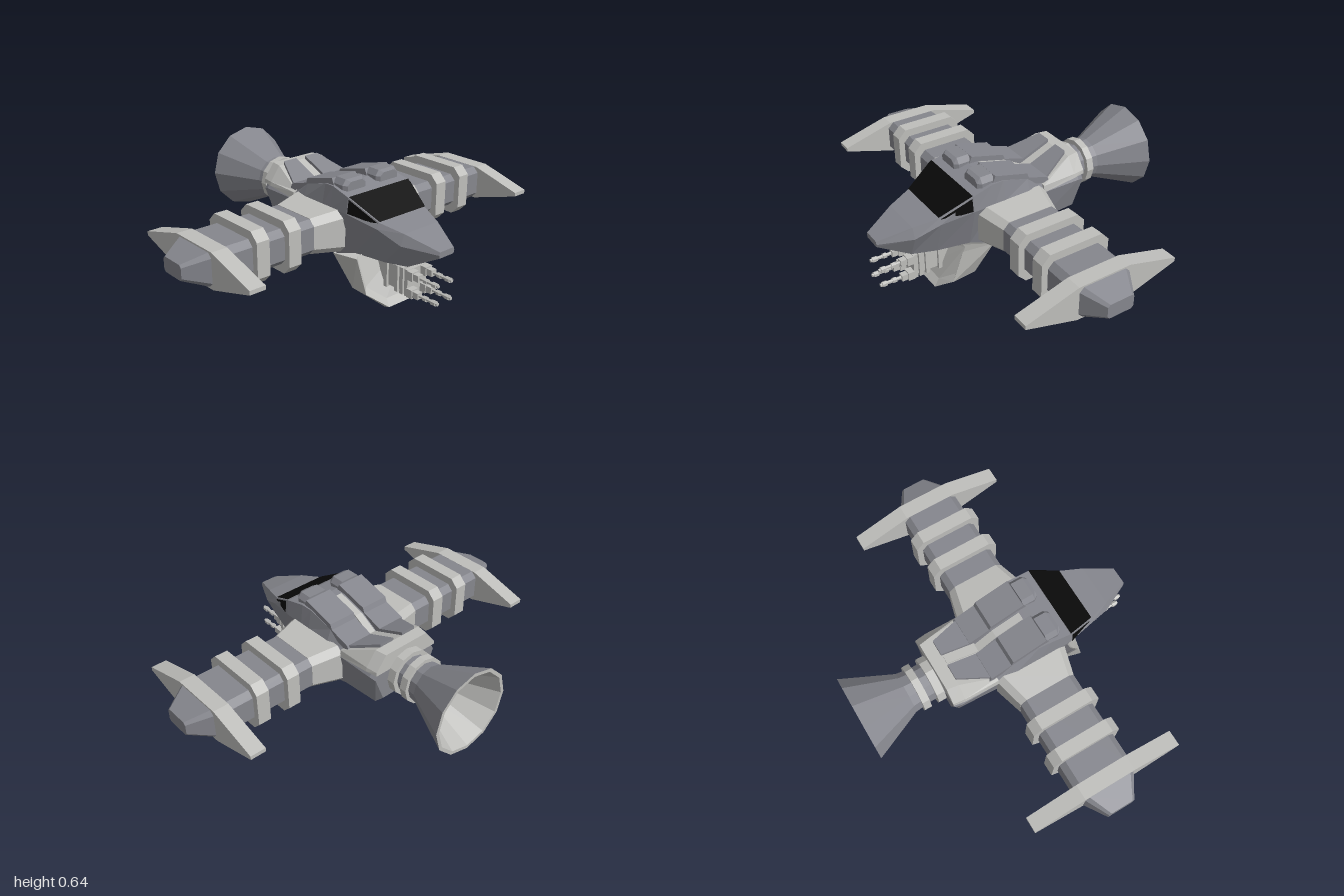
import * as THREE from 'three';

const make = (name, color) => {
  const m = new THREE.MeshStandardMaterial({ color, flatShading: true, side: THREE.DoubleSide });
  m.name = name;
  return m;
};

export function createModel() {
  const grey = make('hull grey', 0x85868d);
  const light = make('light grey', 0xbebebb);
  const black = make('canopy black', 0x090909);
  const model = new THREE.Group();

  const add = (parent, name, geo, mat, x = 0, y = 0, z = 0) => {
    const m = new THREE.Mesh(geo, mat);
    m.name = name;
    m.position.set(x, y, z);
    parent.add(m);
    return m;
  };
  const box = (parent, name, mat, w, h, d, x, y, z) =>
    add(parent, name, new THREE.BoxGeometry(w, h, d), mat, x, y, z);
  // triangles from a list of corner triples
  const fromTris = (tris) => {
    const g = new THREE.BufferGeometry();
    g.setAttribute('position', new THREE.Float32BufferAttribute(tris.flat(2), 3));
    g.computeVertexNormals();
    return g;
  };
  // skin over rings ordered front to back, each counter-clockwise seen from +z
  const loft = (rings) => {
    const t = [], n = rings[0].length, last = rings[rings.length - 1];
    for (let i = 0; i < rings.length - 1; i++)
      for (let j = 0; j < n; j++) {
        const k = (j + 1) % n, a = rings[i][j], b = rings[i][k], c = rings[i + 1][k], d = rings[i + 1][j];
        t.push([a, d, c], [a, c, b]);
      }
    for (let j = 1; j < n - 1; j++) {
      t.push([rings[0][0], rings[0][j], rings[0][j + 1]]);
      t.push([last[0], last[j + 1], last[j]]);
    }
    return fromTris(t);
  };
  // thin panel lying just above a quad, shrunk towards its middle
  const panel = (quad, scale, lift) => {
    const v = quad.map((p) => new THREE.Vector3(...p));
    const mid = v.reduce((s, p) => s.add(p), new THREE.Vector3()).multiplyScalar(0.25);
    const nrm = v[2].clone().sub(v[0]).cross(v[3].clone().sub(v[1])).normalize().multiplyScalar(lift);
    const q = v.map((p) => p.clone().sub(mid).multiplyScalar(scale).add(mid).add(nrm).toArray());
    return fromTris([[q[0], q[1], q[2]], [q[0], q[2], q[3]]]);
  };
  const flip = (quad) => quad.map(([x, y, z]) => [-x, y, z]).reverse();
  // side profile in (z, y), extruded across x0..x1
  const sideExtrude = (pts, x0, x1) => {
    const s = new THREE.Shape(pts.map(([z, y]) => new THREE.Vector2(-z, y)));
    const g = new THREE.ExtrudeGeometry(s, { depth: x1 - x0, bevelEnabled: false });
    return g.rotateY(Math.PI / 2).translate(x0, 0, 0);
  };

  // fuselage: z, then half width and height of top, middle and bottom corners
  const hull = [
    [0.748, 0.045, 0.4, 0.05, 0.385, 0.045, 0.37],
    [0.59, 0.11, 0.455, 0.13, 0.4, 0.08, 0.285],
    [0.47, 0.15, 0.483, 0.165, 0.455, 0.11, 0.275],
    [0.31, 0.195, 0.57, 0.205, 0.49, 0.15, 0.28],
    [0.2, 0.19, 0.595, 0.205, 0.49, 0.17, 0.248],
    [0.14, 0.185, 0.592, 0.205, 0.49, 0.17, 0.248],
    [0, 0.18, 0.55, 0.205, 0.485, 0.17, 0.252],
    [-0.1, 0.17, 0.49, 0.2, 0.45, 0.17, 0.277],
    [-0.3, 0.18, 0.48, 0.2, 0.45, 0.16, 0.28],
    [-0.333, 0.17, 0.47, 0.19, 0.44, 0.14, 0.31],
  ].map(([z, a, ya, b, yb, c, yc]) =>
    [[c, yc, z], [b, yb, z], [a, ya, z], [-a, ya, z], [-b, yb, z], [-c, yc, z]]);
  add(model, 'fuselage', loft(hull), grey);

  // canopy glass
  add(model, 'windscreen', panel([[-0.148, 0.483, 0.47], [0.148, 0.483, 0.47], [0.194, 0.57, 0.312], [-0.194, 0.57, 0.312]], 1, 0.004), black);
  const sideGlass = [[0.152, 0.481, 0.465], [0.165, 0.476, 0.42], [0.204, 0.497, 0.318], [0.195, 0.563, 0.318]];
  add(model, 'leftSideWindow', panel(sideGlass, 1, 0.005), black);
  add(model, 'rightSideWindow', panel(flip(sideGlass), 1, 0.005), black);

  // rear engine block
  const block = [[-0.09, 0.2, 0.45, 0.195, 0.485, 0.18, 0.49], [-0.275, 0.2, 0.47, 0.195, 0.49, 0.14, 0.565], [-0.337, 0.19, 0.47, 0.188, 0.49, 0.13, 0.565]]
    .map(([z, a, ya, b, yb, c, yc]) => [[a, ya, z], [b, yb, z], [c, yc, z], [-c, yc, z], [-b, yb, z], [-a, ya, z]]);
  add(model, 'rearBlock', loft(block), light);

  // dorsal pods with rising tails and intakes
  for (const s of [1, -1]) {
    const x0 = s > 0 ? 0.03 : -0.18;
    add(model, 'dorsalPod', sideExtrude([[0.2, 0.585], [0.18, 0.627], [0, 0.58], [-0.01, 0.553], [-0.12, 0.52], [-0.14, 0.48], [0, 0.52]], x0, x0 + 0.15), grey);
    const tail = [[-0.12, 0.48, 0.518, 0.17], [-0.275, 0.55, 0.582, 0.11]].map(([z, y0, y1, w]) => {
      const a = s > 0 ? 0.03 : -w, b = s > 0 ? w : -0.03;
      return [[a, y0, z], [b, y0, z], [b, y1, z], [a, y1, z]];
    });
    add(model, 'podTail', loft(tail), grey);
    const intake = [[0.27, 0.055], [0.25, 0.07], [0.185, 0.07]].map(([z, w], i) => {
      const c = 0.105 * s, top = i ? 0.632 : 0.622;
      return [[c - w, 0.578, z], [c + w, 0.578, z], [c + w, 0.605, z], [c + w - 0.02, top, z], [c - w + 0.02, top, z], [c - w, 0.605, z]];
    });
    add(model, 'intake', loft(intake), grey);
  }
  add(model, 'spineStrip', sideExtrude([[0.15, 0.597], [0, 0.557], [-0.1, 0.5], [-0.27, 0.57], [-0.27, 0.55], [-0.1, 0.48], [0.15, 0.58]], -0.02, 0.02), light);

  // belly plates
  box(model, 'bellyFrame', light, 0.33, 0.012, 0.19, 0, 0.249, 0.1);
  box(model, 'rearBellyPlate', grey, 0.26, 0.015, 0.17, 0, 0.28, -0.195);
  for (const x of [-0.085, 0.085])
    for (const z of [0.055, 0.145]) box(model, 'bellyPanel', grey, 0.14, 0.008, 0.075, x, 0.242, z);

  // wings, built along local z and turned outwards
  const oct = (z, hw, hh, c) => [[hw, -hh + c, z], [hw, hh - c, z], [hw - c, hh, z], [-hw + c, hh, z], [-hw, hh - c, z], [-hw, -hh + c, z], [-hw + c, -hh, z], [hw - c, -hh, z]];
  const blade = new THREE.Shape([[0.405, -0.008], [0.405, 0.012], [0.137, 0.088], [-0.137, 0.088], [-0.405, 0.012], [-0.405, -0.008], [-0.137, -0.088], [0.137, -0.088]].map((p) => new THREE.Vector2(...p)));
  for (const s of [1, -1]) {
    const wing = new THREE.Group();
    wing.name = s > 0 ? 'leftWing' : 'rightWing';
    wing.position.set(0, 0.388, 0.095);
    wing.rotation.y = (s * Math.PI) / 2;
    model.add(wing);
    add(wing, 'wingRoot', loft([oct(0.345, 0.151, 0.089, 0.032), oct(0.19, 0.192, 0.108, 0.035)]), light);
    add(wing, 'wingTube', loft([oct(0.82, 0.15, 0.087, 0.03), oct(0.34, 0.15, 0.087, 0.03)]), grey);
    for (const x of [0.48, 0.655])
      add(wing, 'wingRing', loft([oct(x + 0.034, 0.182, 0.128, 0.042), oct(x - 0.034, 0.182, 0.128, 0.042)]), light);
    add(wing, 'wingBlade', new THREE.ExtrudeGeometry(blade, { depth: 0.08, bevelEnabled: false }), light, 0, 0, 0.81);
    add(wing, 'wingTip', loft([oct(1, 0.07, 0.037, 0.012), oct(0.885, 0.137, 0.082, 0.022)]), grey);
  }

  // engine neck and bell
  const tube = (name, mat, rFront, rBack, zFront, zBack, open = false) => {
    const g = new THREE.CylinderGeometry(rFront, rBack, zFront - zBack, 12, 1, open).rotateX(Math.PI / 2);
    add(model, name, g, mat, 0, 0.418, (zFront + zBack) / 2);
  };
  tube('engineNeck', grey, 0.098, 0.098, -0.33, -0.47);
  tube('neckRing', light, 0.122, 0.122, -0.34, -0.382);
  tube('neckRing', light, 0.122, 0.122, -0.422, -0.46);
  tube('bellThroat', grey, 0.103, 0.108, -0.46, -0.5);
  tube('engineBell', grey, 0.108, 0.223, -0.5, -0.755, true);
  tube('bellLining', light, 0.09, 0.205, -0.505, -0.755, true);
  add(model, 'bellLip', new THREE.RingGeometry(0.205, 0.223, 12).rotateY(Math.PI), light, 0, 0.418, -0.755);

  // chin scoop: front rim and back edge, from one top corner round to the other
  const half = (a) => [...a, ...flip(a)];
  const rim = half([[0.2, 0.285, 0.38], [0.185, 0.115, 0.43], [0.075, 0.03, 0.475]]);
  const back = half([[0.19, 0.255, 0.2], [0.13, 0.075, 0.275], [0.05, 0.002, 0.42]]);
  const inner = rim.map(([x, y, z]) => [x * 0.86, 0.285 + (y - 0.285) * 0.87, z - 0.03]);
  const shell = [], face = [];
  for (let i = 0; i < 5; i++) {
    const quad = [rim[i], rim[i + 1], back[i + 1], back[i]].reverse();
    shell.push([quad[0], quad[1], quad[2]], [quad[0], quad[2], quad[3]]);
    face.push([rim[i], inner[i + 1], rim[i + 1]], [rim[i], inner[i], inner[i + 1]]);
    add(model, 'scoopPanel', panel(quad, 0.82, 0.008), grey);
  }
  for (let j = 1; j < 5; j++) {
    shell.push([back[0], back[j], back[j + 1]]);
    face.push([inner[0], inner[j + 1], inner[j]]);
  }
  add(model, 'scoopShell', fromTris(shell), light);
  add(model, 'scoopFace', fromTris(face), light);
  const quadBack = [back[1], back[0], back[5], back[4]];
  add(model, 'scoopBackPanel', panel(quadBack.reverse(), 0.82, 0.008), grey);
  add(model, 'scoopKeelPanel', panel([back[2], back[1], back[4], back[3]].reverse(), 0.82, 0.008), grey);

  // gun cluster
  box(model, 'gunHousing', light, 0.1, 0.115, 0.22, 0, 0.188, 0.46);
  for (const z of [0.43, 0.5, 0.535, 0.565]) box(model, 'gunRib', light, 0.125, 0.135, 0.02, 0, 0.188, z);
  for (const x of [-0.045, 0.045])
    for (const y of [0.143, 0.232]) {
      box(model, 'gunBlock', light, 0.044, 0.044, 0.035, x, y, 0.59);
      box(model, 'gunCollar', light, 0.032, 0.032, 0.035, x, y, 0.622);
      for (const [r, z0, z1] of [[0.009, 0.63, 0.75], [0.014, 0.665, 0.685], [0.014, 0.715, 0.74]])
        add(model, 'gunBarrel', new THREE.CylinderGeometry(r, r, z1 - z0, 6).rotateX(Math.PI / 2), light, x, y, (z0 + z1) / 2);
    }
  return model;
}
